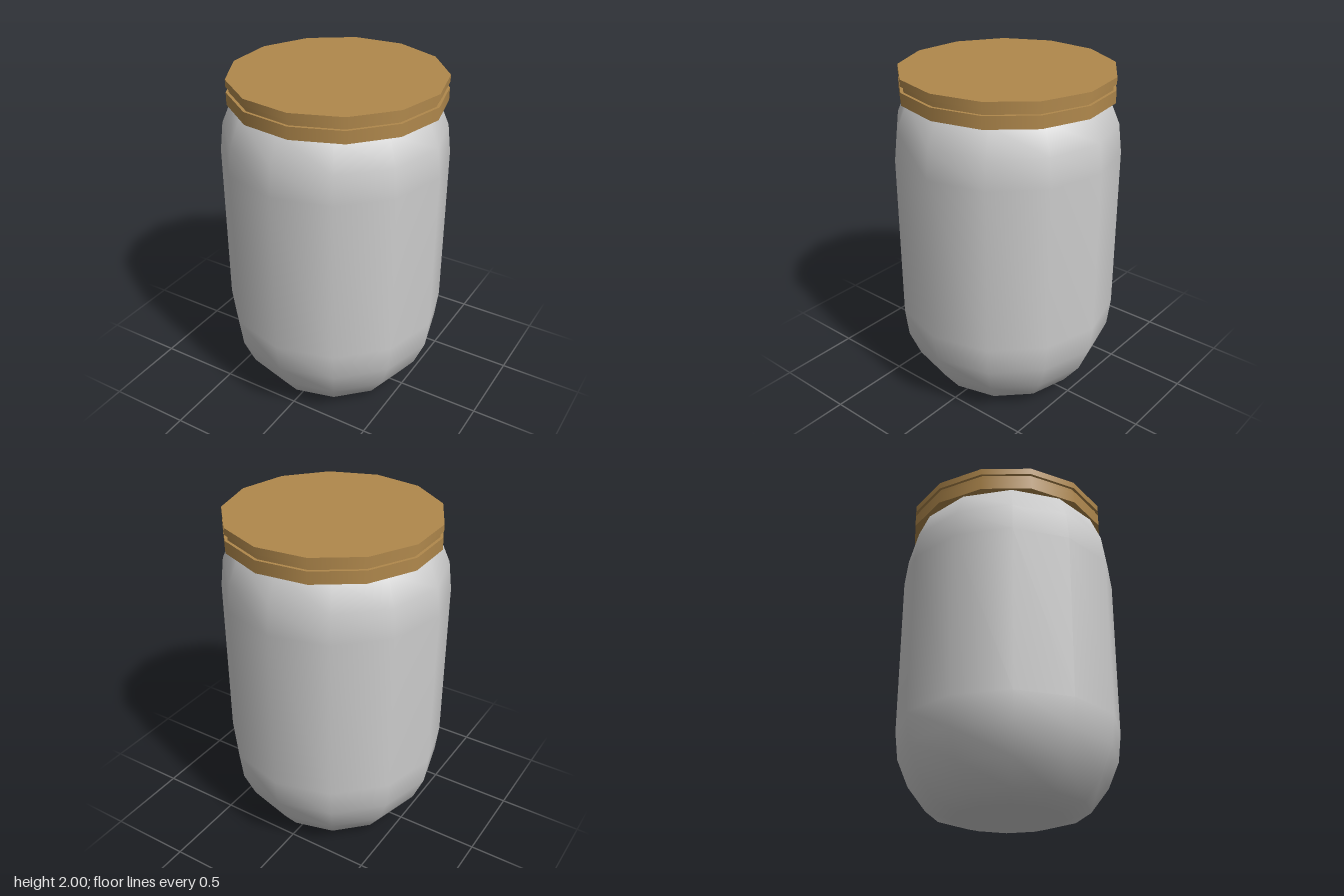
import * as THREE from 'three';

export function createModel() {
  const model = new THREE.Group();
  model.name = 'jar';

  const glass = new THREE.MeshStandardMaterial({ color: 0xcccccc });
  glass.name = 'pale grey';
  const brass = new THREE.MeshStandardMaterial({ color: 0xb0884c });
  brass.name = 'golden brown';

  // Twelve-sided body: straight wall, rounded base and shoulder
  const profile = [
    [0, 0], [0.17, 0.028], [0.33, 0.03], [0.467, 0.07], [0.573, 0.21],
    [0.64, 0.37], [0.66, 0.54], [0.66, 1.53], [0.64, 1.7], [0.573, 1.86], [0.467, 1.93], [0, 1.94],
  ].map(([r, y]) => new THREE.Vector2(r, y));
  const body = new THREE.Mesh(new THREE.LatheGeometry(profile, 12), glass);
  body.name = 'jarBody';
  model.add(body);

  // Thirteen-sided lid: two bands with a shallow groove between, set slightly off centre
  const lid = new THREE.Group();
  lid.name = 'lid';
  lid.position.set(0.008, 0, -0.014);
  const addBand = (name, radius, bottom, top) => {
    const geometry = new THREE.CylinderGeometry(radius, radius, top - bottom, 13, 1, false, Math.PI / 2);
    const band = new THREE.Mesh(geometry, brass);
    band.name = name;
    band.position.y = (bottom + top) / 2;
    lid.add(band);
  };
  addBand('lidSkirt', 0.617, 1.855, 1.927);
  addBand('lidGroove', 0.6, 1.927, 1.96);
  addBand('lidTop', 0.617, 1.96, 2);
  model.add(lid);

  return model;
}
